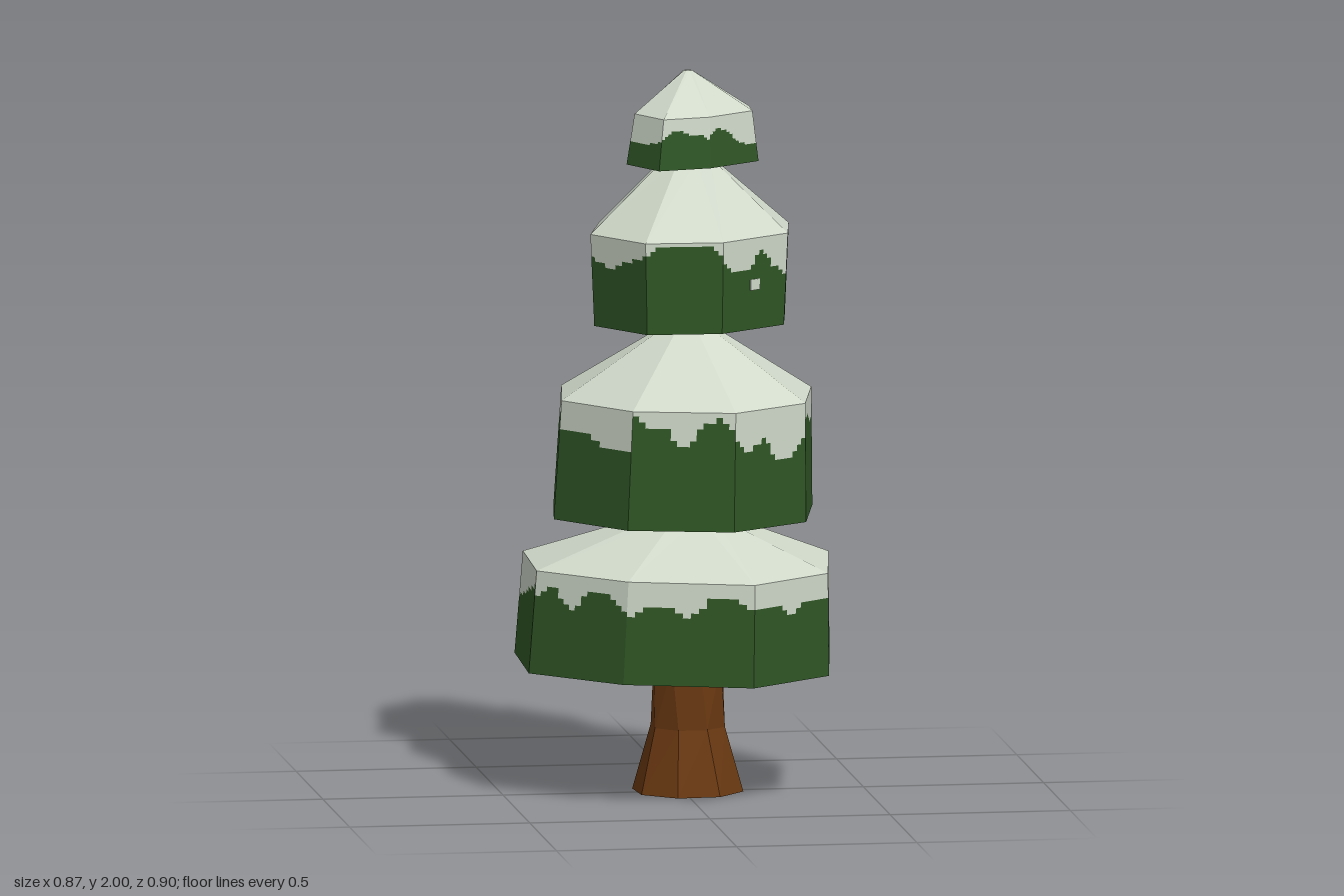
import * as THREE from 'three';

const material = (name, color) => {
  const m = new THREE.MeshStandardMaterial({ color, flatShading: true });
  m.name = name;
  return m;
};

const CX = 0.015, CZ = -0.015; // axis of the tree

// Each tier: heights, eave outline [x, z], flare and shift of the lower rim,
// and one string per wall giving the snow depth in tenths, left to right.
const TIERS = [
  {
    name: 'bottomTier', low: 0.35, eave: 0.635, top: 0.77, topRadius: 0.08, flare: 1.03, shift: -0.008,
    rim: [[-0.13, -0.435], [0.25, -0.375], [0.425, -0.145], [0.365, 0.25], [0.135, 0.435], [-0.2, 0.325], [-0.42, 0.09], [-0.405, -0.27]],
    snow: ['23321', '6322442', '245567532', '2223222', '3223112', '213113', '4321', '122122'],
  },
  {
    name: 'lowerMiddleTier', low: 0.77, eave: 1.1, top: 1.285, topRadius: 0.075, flare: 1.035, shift: -0.008,
    rim: [[-0.065, -0.37], [0.22, -0.31], [0.37, -0.097], [0.31, 0.195], [0.095, 0.345], [-0.18, 0.275], [-0.345, 0.05], [-0.305, -0.225]],
    snow: ['133234', '314322', '111221', '232442', '0113101', '2233', '3211', '0122122'],
  },
  {
    name: 'upperMiddleTier', low: 1.305, eave: 1.56, top: 1.76, topRadius: 0.065, flare: 0.96, shift: 0,
    rim: [[-0.03, -0.3], [0.165, -0.275], [0.305, -0.08], [0.275, 0.105], [0.075, 0.25], [-0.14, 0.24], [-0.265, 0.05], [-0.21, -0.16]],
    snow: ['1221', '100102', '311200', '233134', '100001', '2321', '4112', '333443'],
  },
  {
    name: 'crownTier', low: 1.75, eave: 1.89, top: 2, topRadius: 0.012, flare: 1.12, shift: -0.004,
    rim: [[0, -0.18], [0.09, -0.185], [0.192, -0.06], [0.188, 0.028], [0.055, 0.125], [-0.077, 0.155], [-0.14, 0.035], [-0.1, -0.08]],
    snow: ['5324', '4223', '2113', '323566', '422334', '554', '3543', '4435'],
  },
];

function meshFrom(points, mat, name) {
  const geometry = new THREE.BufferGeometry().setFromPoints(points);
  geometry.computeVertexNormals();
  const mesh = new THREE.Mesh(geometry, mat);
  mesh.name = name;
  return mesh;
}

// Two triangles, corners counter-clockwise from outside
const quad = (out, a, b, c, d) => out.push(a, b, c, a, c, d);

function sampleDepth(digits, t) {
  const f = t * (digits.length - 1);
  const i = Math.min(Math.floor(f), digits.length - 2);
  const depth = THREE.MathUtils.lerp(+digits[i], +digits[i + 1], f - i) / 10;
  return 0.04 + Math.round(depth * 20) / 20;
}

function buildTier(t, snowMat, leafMat) {
  const snow = [], leaves = [], n = t.rim.length, columns = 16;
  const upper = t.rim.map(([x, z]) => new THREE.Vector3(x, t.eave, z));
  const lower = t.rim.map(([x, z]) => new THREE.Vector3(
    CX + (x - CX) * t.flare + t.shift, t.low, CZ + (z - CZ) * t.flare + t.shift));
  const peak = t.rim.map(([x, z]) => {
    const k = t.topRadius / Math.hypot(x - CX, z - CZ);
    return new THREE.Vector3(CX + (x - CX) * k, t.top, CZ + (z - CZ) * k);
  });
  const peakCentre = new THREE.Vector3(CX, t.top, CZ);
  const lowCentre = new THREE.Vector3(CX, t.low, CZ);

  for (let i = 0; i < n; i++) {
    const a = (i + 1) % n, b = i;
    // Snowy roof and flat underside
    quad(snow, upper[a], upper[b], peak[b], peak[a]);
    snow.push(peakCentre, peak[a], peak[b]);
    leaves.push(lowCentre, lower[b], lower[a]);
    // Wall in narrow columns: stepped snow above, foliage below
    const at = (u, v) => upper[a].clone().lerp(upper[b], u)
      .lerp(lower[a].clone().lerp(lower[b], u), v);
    for (let c = 0; c < columns; c++) {
      const u0 = c / columns, u1 = (c + 1) / columns;
      const d = sampleDepth(t.snow[i], (c + 0.5) / columns);
      quad(snow, at(u0, d), at(u1, d), at(u1, 0), at(u0, 0));
      quad(leaves, at(u0, 1), at(u1, 1), at(u1, d), at(u0, d));
    }
  }
  const group = new THREE.Group();
  group.name = t.name;
  group.add(meshFrom(snow, snowMat, 'snowCap'), meshFrom(leaves, leafMat, 'foliage'));
  return group;
}

// Twisted eight-sided trunk: [height, radius, turn in degrees]
function buildTrunk(mat) {
  const rings = [[0, 0.155, 4], [0.18, 0.105, 0], [0.36, 0.1, -11], [0.8, 0.085, -8], [1.3, 0.066, 0], [1.82, 0.035, 0]]
    .map(([y, r, turn]) => Array.from({ length: 8 }, (_, i) => {
      const angle = THREE.MathUtils.degToRad(22.5 + i * 45 + turn);
      return new THREE.Vector3(CX + r * Math.sin(angle), y, CZ + r * Math.cos(angle));
    }));
  const out = [], foot = new THREE.Vector3(CX, 0, CZ);
  for (let i = 0; i < 8; i++) {
    const j = (i + 1) % 8;
    for (let k = 0; k < rings.length - 1; k++) {
      quad(out, rings[k][i], rings[k][j], rings[k + 1][j], rings[k + 1][i]);
    }
    out.push(foot, rings[0][j], rings[0][i]);
  }
  return meshFrom(out, mat, 'trunk');
}

export function createModel() {
  const snowMat = material('snow', 0xd0d9ca);
  const leafMat = material('pine green', 0x305726);
  const barkMat = material('bark brown', 0x6a3912);

  const tree = new THREE.Group();
  tree.name = 'snowyPineTree';
  tree.add(buildTrunk(barkMat));
  for (const t of TIERS) tree.add(buildTier(t, snowMat, leafMat));

  // Small loose patch of snow on the front-right wall of the third tier
  const patch = new THREE.Mesh(new THREE.BoxGeometry(0.035, 0.03, 0.008), snowMat);
  patch.name = 'snowPatch';
  patch.position.set(0.172, 1.43, 0.172);
  patch.rotation.y = Math.atan2(0.145, 0.2);
  tree.add(patch);
  return tree;
}
